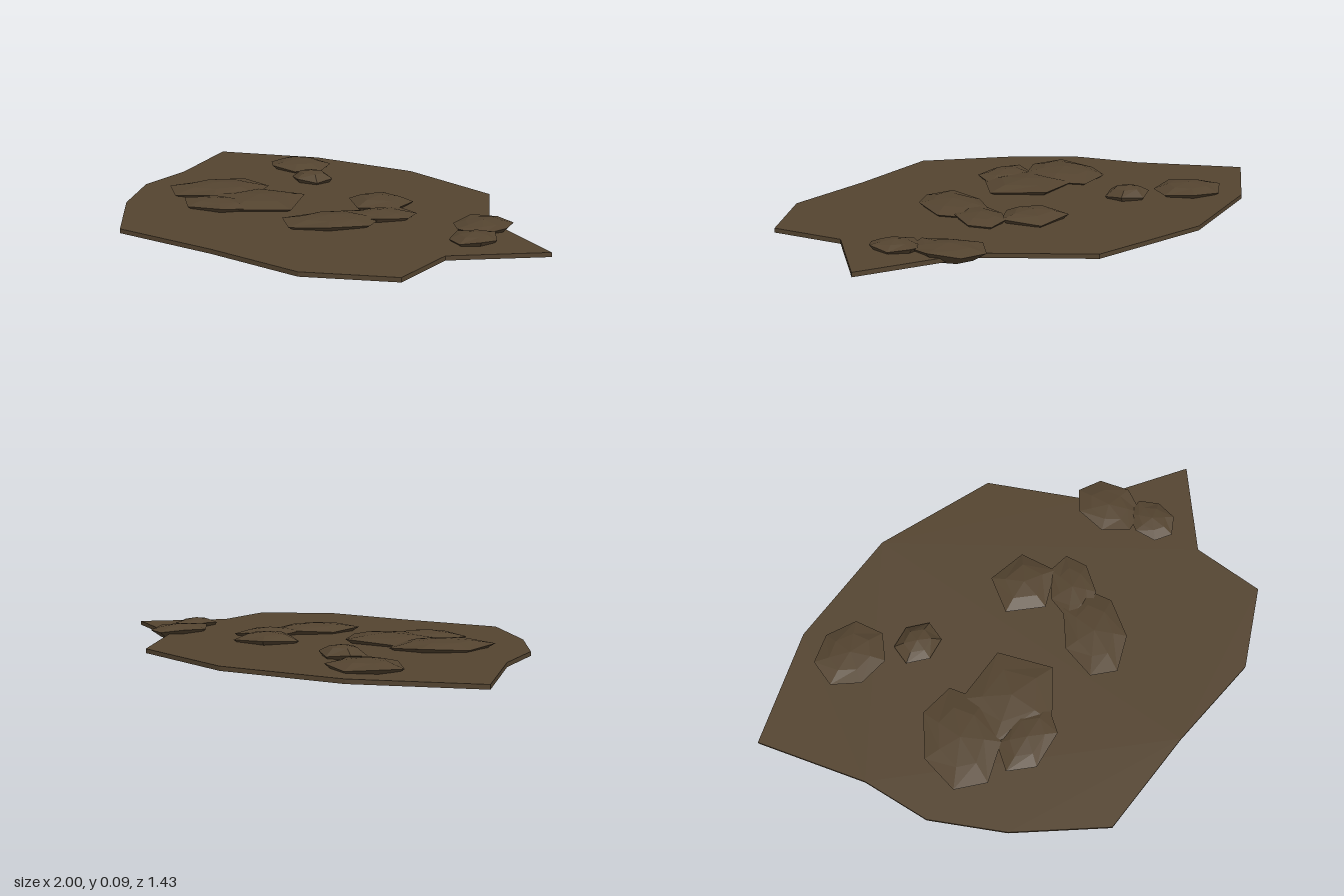
import * as THREE from 'three';

const soil = new THREE.MeshStandardMaterial({ name: 'brown earth', color: 0x544430, flatShading: true });

// Ground outline as [x, z]
const GROUND = [
  [-1, -0.32], [-0.63, -0.58], [-0.17, -0.72], [0.32, -0.685], [0.6, -0.385], [1, -0.26],
  [0.81, 0.045], [0.89, 0.315], [0.645, 0.53], [0.27, 0.605], [-0.14, 0.715],
  [-0.455, 0.505], [-0.665, 0.29], [-0.765, 0.04],
];

// Stones: x, z, half length, half width, heading of the tip in degrees, sides, top, bottom
const STONES = [
  [-0.53, -0.4, 0.145, 0.125, 0, 7, 0.083, 0.013],
  [-0.3, -0.285, 0.08, 0.095, -90, 6, 0.09, 0.01],
  [0.17, -0.24, 0.125, 0.135, 85, 5, 0.084, 0.012],
  [0.31, -0.115, 0.14, 0.09, -62, 7, 0.076, 0.005],
  [0.265, 0.08, 0.188, 0.122, -65, 7, 0.08, 0.004],
  [-0.39, 0.12, 0.205, 0.148, -66, 7, 0.082, 0.012],
  [-0.14, 0.1, 0.195, 0.18, 0, 5, 0.08, 0],
  [-0.19, 0.265, 0.15, 0.1, -22, 6, 0.08, 0.012],
  [0.64, -0.31, 0.138, 0.105, -111, 7, 0.075, 0.013],
  [0.74, -0.16, 0.098, 0.08, 75, 7, 0.078, 0.014],
];

// Thin slab cut to the outline
function makeGround() {
  const shape = new THREE.Shape(GROUND.map(([x, z]) => new THREE.Vector2(x, -z)));
  const geometry = new THREE.ExtrudeGeometry(shape, { depth: 0.016, bevelEnabled: false });
  geometry.rotateX(-Math.PI / 2).translate(0, 0.03, 0);
  const mesh = new THREE.Mesh(geometry, soil);
  mesh.name = 'ground';
  return mesh;
}

// Faceted stone: rings drawn in toward a peak above and a point below
function makeStone([x, z, length, width, heading, sides, top, bottom], index) {
  const rings = [[0.65, 0.024], [1, 0.058], [0.58, top - 0.008]];
  const positions = [0, bottom, 0];
  for (const [scale, y] of rings) {
    for (let i = 0; i < sides; i++) {
      const angle = (i / sides) * Math.PI * 2;
      // The widest ring is slightly uneven
      const lift = scale === 1 ? (i % 2 ? 0.005 : -0.004) : 0;
      positions.push(Math.cos(angle) * length * scale, y + lift, -Math.sin(angle) * width * scale);
    }
  }
  positions.push(0, top, 0);

  const indices = [];
  const last = 1 + rings.length * sides;
  for (let i = 0; i < sides; i++) {
    const j = (i + 1) % sides;
    indices.push(0, 1 + j, 1 + i);
    for (let r = 0; r < rings.length - 1; r++) {
      const a = 1 + r * sides + i;
      const b = 1 + r * sides + j;
      indices.push(a, b, b + sides, a, b + sides, a + sides);
    }
    indices.push(last - sides + i, last - sides + j, last);
  }
  const geometry = new THREE.BufferGeometry();
  geometry.setAttribute('position', new THREE.Float32BufferAttribute(positions, 3));
  geometry.setIndex(indices);
  geometry.computeVertexNormals();
  const mesh = new THREE.Mesh(geometry, soil);
  mesh.name = `stone${index + 1}`;
  mesh.position.set(x, 0, z);
  mesh.rotation.y = -THREE.MathUtils.degToRad(heading);
  return mesh;
}

export function createModel() {
  const model = new THREE.Group();
  model.name = 'stonyGround';
  const stones = new THREE.Group();
  stones.name = 'stones';
  STONES.forEach((stone, i) => stones.add(makeStone(stone, i)));
  model.add(makeGround(), stones);
  return model;
}
